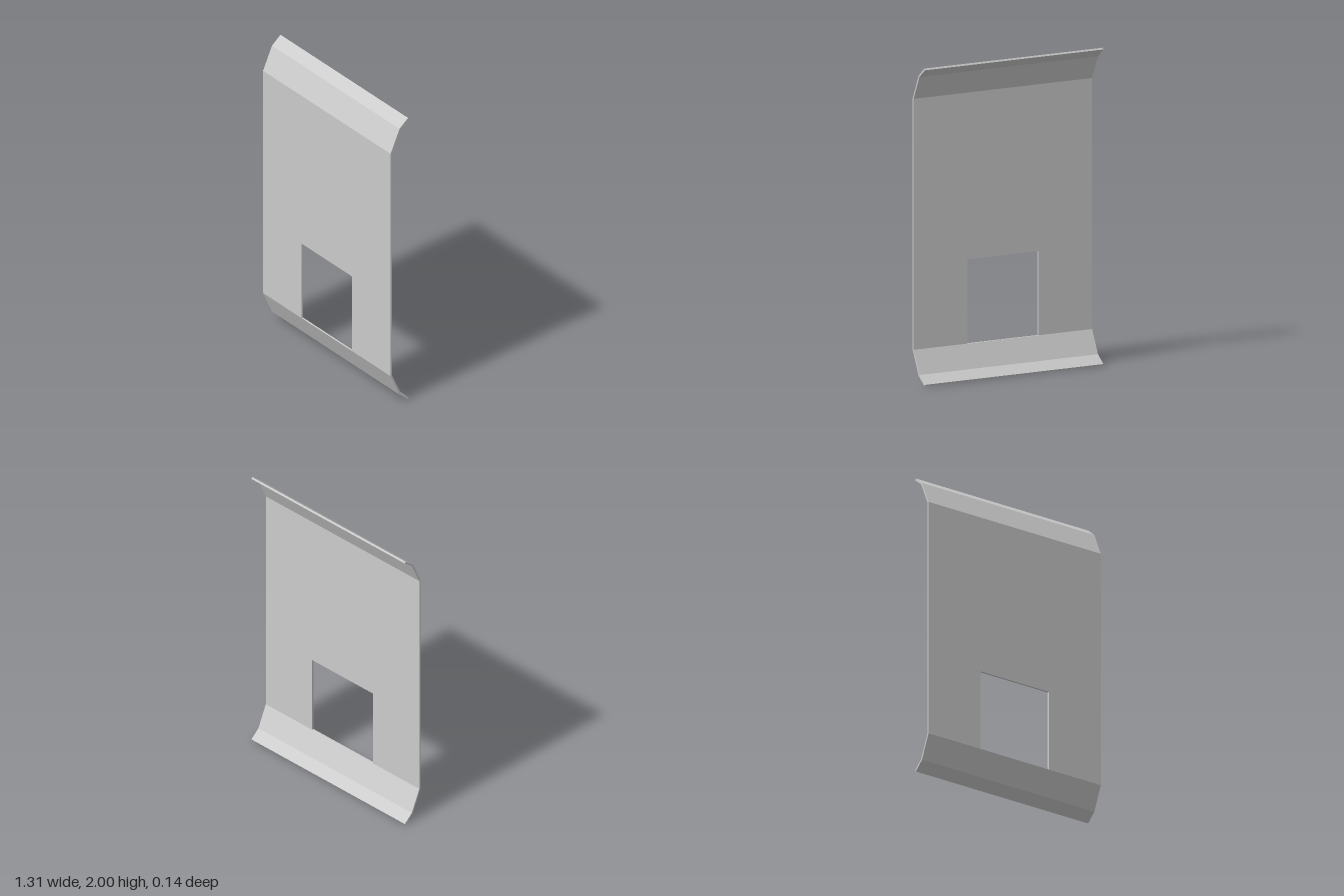
import * as THREE from 'three';

const HALF_WIDTH = 0.655;
const FRONT = 0.07;
const THICKNESS = 0.012;
const BEND = 0.21; // height of the fold between panel and lip

export function createModel() {
  const group = new THREE.Group();
  const material = new THREE.MeshStandardMaterial({ color: 0xcccccc, flatShading: true });

  const add = (name, geometry) => {
    const mesh = new THREE.Mesh(geometry, material);
    mesh.name = name;
    group.add(mesh);
  };

  // Flat panel; the window opening reaches down to the lower fold
  const outline = [
    [-HALF_WIDTH, BEND], [-0.26, BEND], [-0.26, 0.74], [0.26, 0.74],
    [0.26, BEND], [HALF_WIDTH, BEND], [HALF_WIDTH, 2 - BEND], [-HALF_WIDTH, 2 - BEND],
  ];
  const panelShape = new THREE.Shape(outline.map(([x, y]) => new THREE.Vector2(x, y)));
  const panel = new THREE.ExtrudeGeometry(panelShape, { depth: THICKNESS, bevelEnabled: false });
  panel.translate(0, 0, FRONT - THICKNESS);
  add('panel', panel);

  // Twice-folded lip, as a (z, y) section swept across the width
  const section = [
    [FRONT, BEND], [0.001, 0.055], [-0.065, 0],
    [-0.072, 0.01], [-0.009, 0.062], [FRONT - THICKNESS, BEND],
  ];
  const lip = (name, place) => {
    const shape = new THREE.Shape(section.map(([z, y]) => new THREE.Vector2(z, place(y))));
    const geometry = new THREE.ExtrudeGeometry(shape, { depth: 2 * HALF_WIDTH, bevelEnabled: false });
    geometry.translate(0, 0, -HALF_WIDTH);
    geometry.rotateY(-Math.PI / 2);
    add(name, geometry);
  };
  lip('lowerLip', (y) => y);
  lip('upperLip', (y) => 2 - y);

  return group;
}
